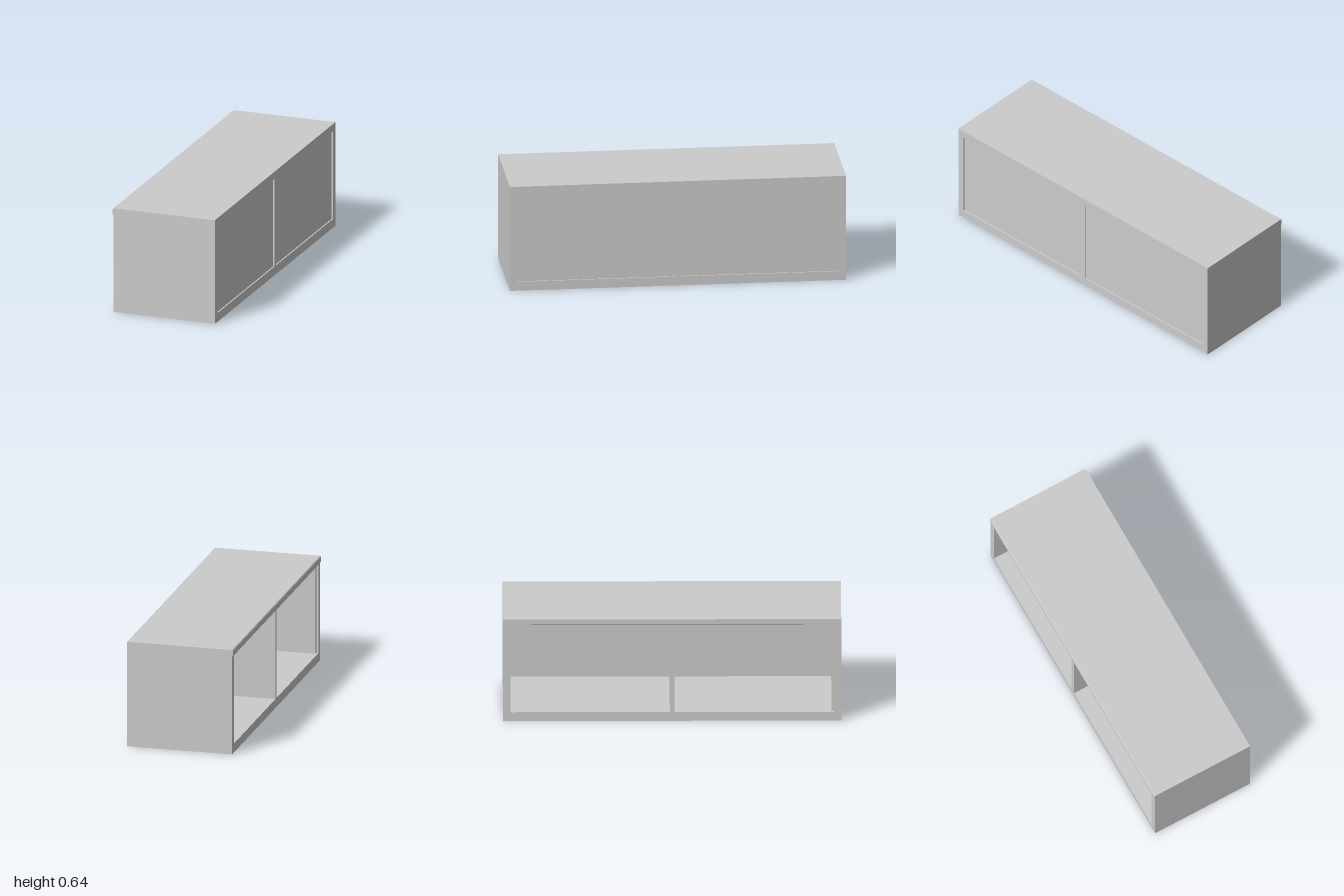
import * as THREE from 'three';

export function createModel() {
  const model = new THREE.Group();
  model.name = 'cabinet';
  const grey = new THREE.MeshStandardMaterial({ color: 0xcccccc });
  grey.name = 'light grey';

  // Box given by its minimum and maximum corners
  function box(name, x0, x1, y0, y1, z0, z1) {
    const mesh = new THREE.Mesh(new THREE.BoxGeometry(x1 - x0, y1 - y0, z1 - z0), grey);
    mesh.position.set((x0 + x1) / 2, (y0 + y1) / 2, (z0 + z1) / 2);
    mesh.name = name;
    model.add(mesh);
  }

  const X0 = -0.32, X1 = 0.323, H = 0.645;
  const floorY = 0.055, ceilY = 0.6, wall = 0.042, half = 0.014;

  // Carcass
  box('bottomBoard', X0, X1, 0, floorY, -1, 1);
  box('topBoard', X0, X1, ceilY, H, -1, 1);
  box('backEndWall', X0, X1, floorY, ceilY, -1, -1 + wall);
  box('frontEndWall', X0, X1, floorY, ceilY, 1 - wall, 1);
  box('divider', X0, X1, floorY, ceilY, -half, half);

  // Lining of the front end wall, set in from the open side
  box('wallLining', X0 + 0.012, 0.3, floorY, ceilY, 0.943, 1 - wall);

  // Slightly recessed panels closing one long side
  for (const [z0, z1] of [[-1 + wall, -half], [half, 1 - wall]]) {
    box('recessedPanel', 0.3, 0.315, floorY, ceilY, z0, z1);
  }

  // Bevelled lip along the top of the open side
  const profile = new THREE.Shape([
    [X0, 0.603], [X0, H], [-0.3245, 0.64], [-0.3245, 0.607],
  ].map(([x, y]) => new THREE.Vector2(x, y)));
  const lip = new THREE.Mesh(
    new THREE.ExtrudeGeometry(profile, { depth: 2, bevelEnabled: false }), grey);
  lip.position.z = -1;
  lip.name = 'topLip';
  model.add(lip);

  return model;
}
